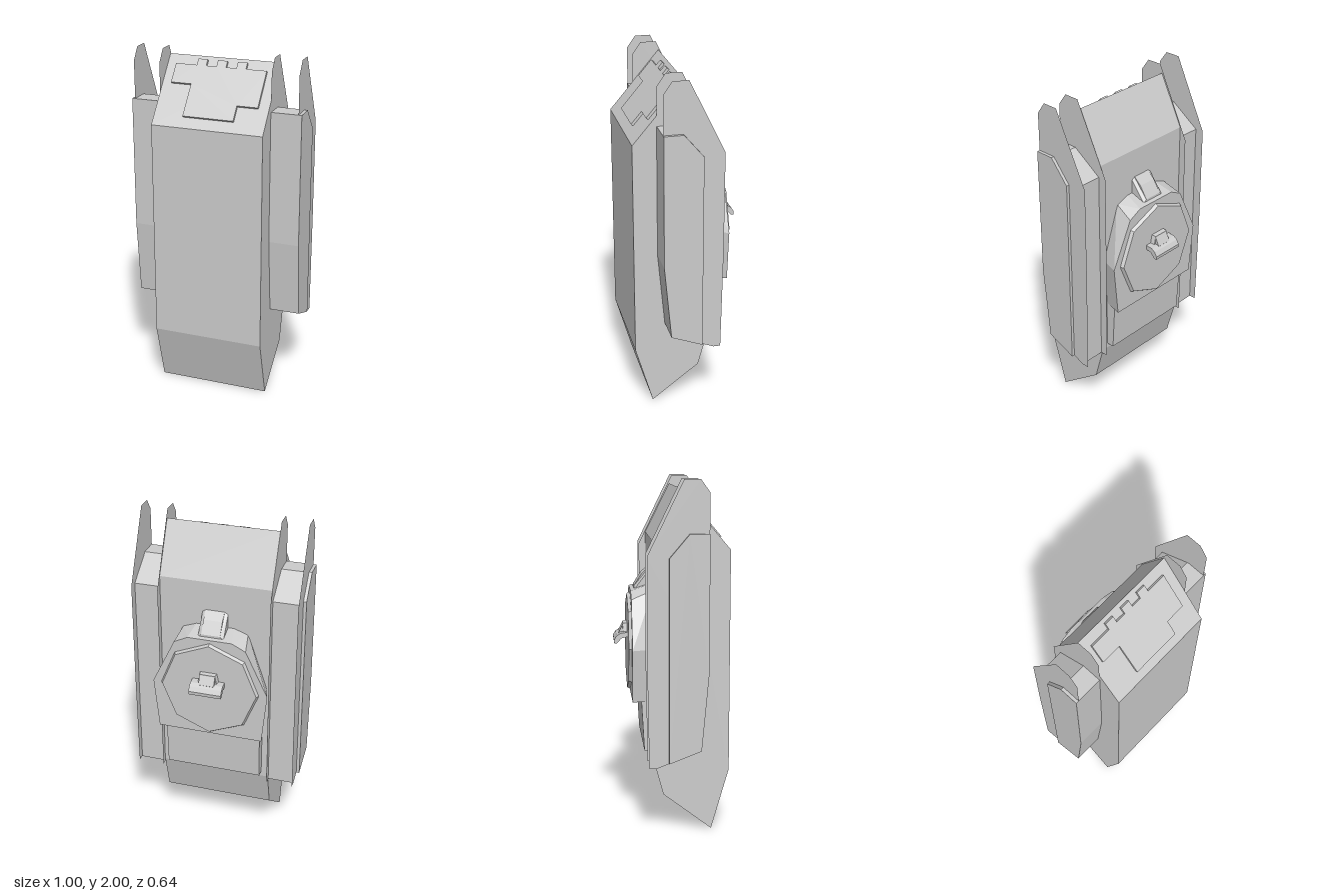
import * as THREE from 'three';
import { ConvexGeometry } from 'three/addons/geometries/ConvexGeometry.js';

const material = new THREE.MeshStandardMaterial({ color: 0xcccccc, flatShading: true });
const sheetMaterial = new THREE.MeshStandardMaterial({ color: 0xcccccc, flatShading: true, side: THREE.DoubleSide });

const toShape = (points) => new THREE.Shape(points.map(([a, b]) => new THREE.Vector2(a, b)));

function addMesh(parent, name, geometry, mat = material) {
  const mesh = new THREE.Mesh(geometry, mat);
  mesh.name = name;
  parent.add(mesh);
  return mesh;
}

// Side profile given as [z, y], extruded across x from x0 to x1
function sideExtrude(profile, x0, x1) {
  const geo = new THREE.ExtrudeGeometry(toShape(profile), { depth: x1 - x0, bevelEnabled: false });
  return geo.rotateY(-Math.PI / 2).translate(x1, 0, 0);
}

// Convex solid between two mirrored outlines of [x, y] at two depths
function loft(near, zNear, far, zFar) {
  const points = [];
  for (const [outline, z] of [[near, zNear], [far, zFar]]) {
    for (const [x, y] of outline) {
      points.push(new THREE.Vector3(x, y, z), new THREE.Vector3(-x, y, z));
    }
  }
  return new ConvexGeometry(points);
}

export function createModel() {
  const model = new THREE.Group();
  model.name = 'armouredPack';

  // Main body
  addMesh(model, 'body', sideExtrude([
    [0.325, 0.35], [0.325, 1.61], [0.035, 1.95], [-0.11, 1.66],
    [-0.11, 0.43], [-0.05, 0.21], [0.225, 0],
  ], -0.325, 0.325));

  // Raised notched plate on the sloping front top
  const rise = 0.34, run = 0.29;
  const outline = [
    [-0.27, 1.81], [-0.15, 1.81], [-0.15, 1.66], [0.145, 1.66], [0.145, 1.73], [0.265, 1.73], [0.265, 1.9],
  ];
  for (const x of [0.117, 0, -0.117]) {
    outline.push([x + 0.028, 1.9], [x + 0.028, 1.93], [x - 0.028, 1.93], [x - 0.028, 1.9]);
  }
  outline.push([-0.27, 1.9]);
  const stretch = Math.hypot(rise, run) / rise;
  const plate = addMesh(model, 'topPlate', new THREE.ExtrudeGeometry(
    toShape(outline.map(([x, y]) => [x, (y - 1.61) * stretch])),
    { depth: 0.015, bevelEnabled: false },
  ));
  plate.position.set(0, 1.61, 0.325);
  plate.rotation.x = -Math.atan2(run, rise);

  // Side pods, each with two thin fins
  const fin = [
    [0.19, 0.95], [0.19, 1.93], [0.14, 2], [0.05, 2], [-0.15, 1.59],
    [-0.15, 1.0], [-0.14, 0.41], [-0.1, 0.41], [0.15, 0.51],
  ];
  const innerPod = [
    [0.19, 0.95], [0.19, 1.71], [0.075, 1.71], [-0.1, 1.59], [-0.1, 0.41], [0.15, 0.51],
  ];
  const outerPod = [
    [0.19, 0.95], [0.19, 1.71], [0.08, 1.71], [-0.03, 1.58], [-0.03, 0.44], [0.15, 0.51],
  ];
  for (const [side, s] of [['left', 1], ['right', -1]]) {
    const pod = new THREE.Group();
    pod.name = side + 'Pod';
    model.add(pod);
    const span = (a, b) => (s > 0 ? [a, b] : [-b, -a]);
    addMesh(pod, 'podCore', sideExtrude(innerPod, ...span(0.32, 0.48)));
    addMesh(pod, 'podOuterPanel', sideExtrude(outerPod, ...span(0.47, 0.5)));
    for (const [name, x] of [['innerFin', 0.327], ['outerFin', 0.482]]) {
      const geo = new THREE.ShapeGeometry(toShape(fin)).rotateY(-Math.PI / 2).translate(s * x, 0, 0);
      addMesh(pod, name, geo, sheetMaterial);
    }
  }

  // Rear housing flaring outward to the back
  addMesh(model, 'rearHousing', loft(
    [[0.28, 0.75], [0.3, 1.05], [0.19, 1.37], [0.11, 1.4]], -0.1,
    [[0.31, 0.75], [0.34, 1.05], [0.21, 1.32], [0.13, 1.36]], -0.222,
  ));

  // Wedge plate below the housing
  addMesh(model, 'lowerRearPlate', sideExtrude(
    [[-0.1, 0.46], [-0.1, 0.77], [-0.172, 0.77], [-0.155, 0.46]], -0.285, 0.285));

  // Octagonal hatch disc
  const disc = addMesh(model, 'hatchDisc', new THREE.CylinderGeometry(0.295, 0.28, 0.025, 8));
  disc.rotation.x = Math.PI / 2;
  disc.position.set(0, 1.05, -0.2275);

  // Block on top of the housing
  addMesh(model, 'topBlock', loft(
    [[0.075, 1.3], [0.075, 1.49], [0.06, 1.5]], -0.1,
    [[0.075, 1.3], [0.075, 1.36], [0.055, 1.38]], -0.2,
  ));
  addMesh(model, 'topBlockCap', sideExtrude(
    [[-0.1, 1.3], [-0.1, 1.5], [-0.155, 1.45], [-0.2, 1.38], [-0.2, 1.3]], -0.055, 0.055));

  // Hooked handle on the hatch
  addMesh(model, 'handleStem', loft(
    [[0.065, 1.09], [0.05, 1.165]], -0.235,
    [[0.06, 1.09], [0.045, 1.16]], -0.265,
  ));
  addMesh(model, 'handleNeck', sideExtrude(
    [[-0.255, 1.09], [-0.262, 1.16], [-0.29, 1.105], [-0.28, 1.08]], -0.045, 0.045));
  addMesh(model, 'handleBar', sideExtrude([
    [-0.235, 1.09], [-0.235, 1.115], [-0.28, 1.11], [-0.303, 1.095], [-0.318, 1.07],
    [-0.316, 1.05], [-0.3, 1.052], [-0.275, 1.08],
  ], -0.095, 0.095));

  return model;
}
